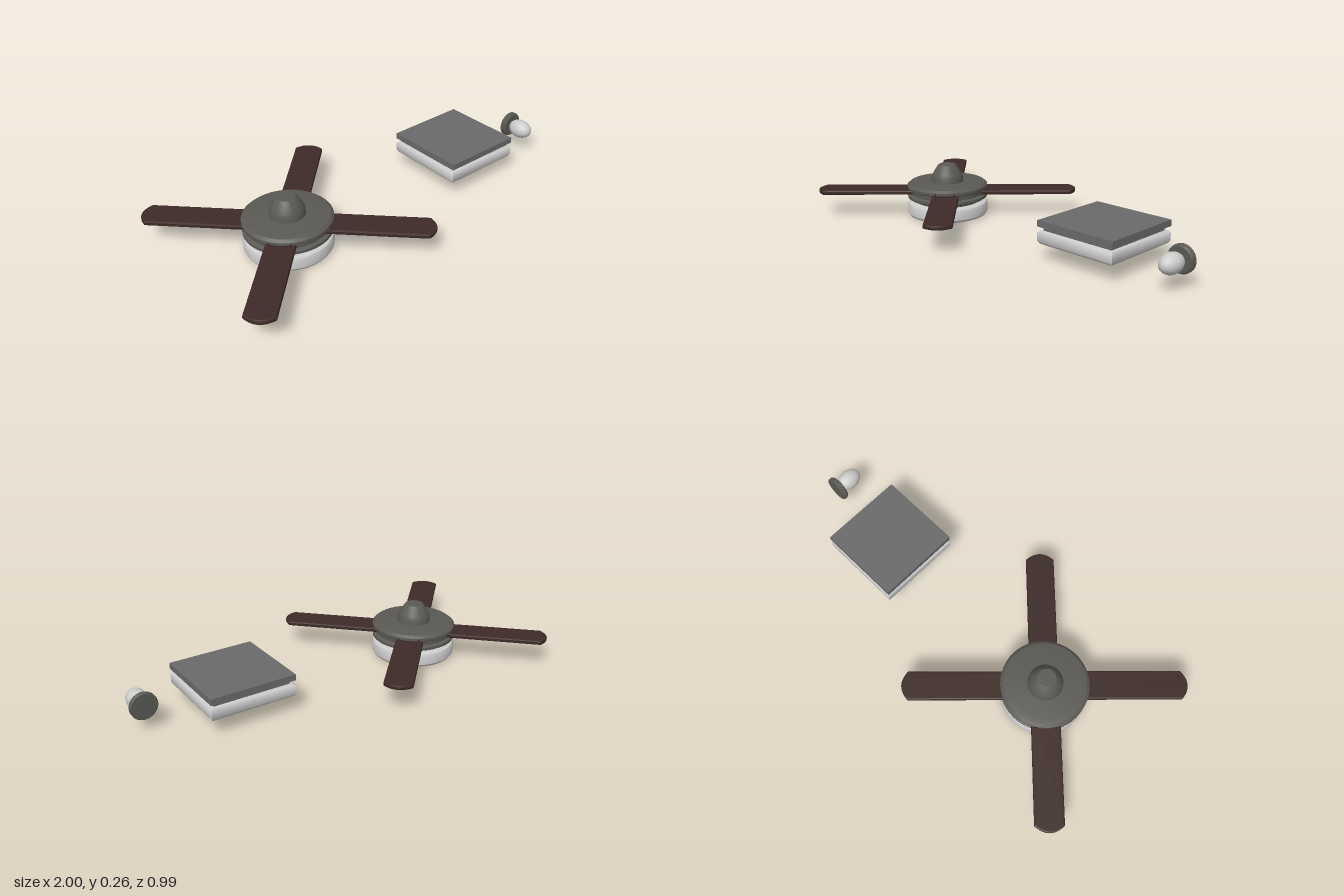
import * as THREE from 'three';
import { toCreasedNormals } from 'three/addons/utils/BufferGeometryUtils.js';

const paint = (color) => new THREE.MeshStandardMaterial({ color });
const metal = paint(0x5a5954);
const steel = paint(0x6a6a6a);
const glass = paint(0xcccccc);
const wood = paint(0x3d2b27);

function add(parent, name, geometry, material) {
  const mesh = new THREE.Mesh(geometry, material);
  mesh.name = name;
  parent.add(mesh);
  return mesh;
}

// Revolve [radius, height] pairs, listed bottom to top
function turned(profile, segments = 48, crease = 0.5) {
  const points = profile.map(([r, y]) => new THREE.Vector2(r, y));
  return toCreasedNormals(new THREE.LatheGeometry(points, segments), crease);
}

// Square version of the same: first number is the half width
function squareTurned(profile, crease) {
  const corners = profile.map(([w, y]) => [w * Math.SQRT2, y]);
  return turned(corners, 4, crease).rotateY(Math.PI / 4);
}

// Flat blade running along +x with a curved tip and bevelled rim
function bladeGeometry() {
  const bevel = 0.006;
  const shape = new THREE.Shape();
  shape.moveTo(0.1, -0.061);
  shape.lineTo(0.627, -0.061);
  shape.quadraticCurveTo(0.681, 0, 0.627, 0.061);
  shape.lineTo(0.1, 0.061);
  shape.closePath();
  const geometry = new THREE.ExtrudeGeometry(shape, {
    depth: 0.01, bevelEnabled: true, bevelThickness: bevel, bevelSize: bevel,
    bevelSegments: 2, curveSegments: 10,
  });
  return geometry.rotateX(-Math.PI / 2).translate(0, 0.121, 0);
}

function ceilingFan() {
  const fan = new THREE.Group();
  fan.name = 'ceilingFan';
  add(fan, 'fanLightShade', turned([
    [0, 0], [0.185, 0], [0.197, 0.005], [0.204, 0.016], [0.205, 0.055], [0.199, 0.068], [0.185, 0.074], [0, 0.074],
  ]), glass);
  add(fan, 'lowerHousing', turned([
    [0, 0.07], [0.165, 0.07], [0.165, 0.082], [0.19, 0.087], [0.203, 0.095], [0.203, 0.108], [0.19, 0.115], [0, 0.115],
  ]), metal);
  add(fan, 'motorCore', turned([[0, 0.11], [0.187, 0.11], [0.187, 0.145], [0, 0.145]]), metal);
  add(fan, 'upperHousing', turned([
    [0, 0.138], [0.195, 0.138], [0.205, 0.145], [0.205, 0.158], [0.192, 0.169], [0.17, 0.173], [0, 0.173],
  ]), metal);
  add(fan, 'ceilingCanopy', turned([
    [0, 0.17], [0.082, 0.17], [0.08, 0.198], [0.072, 0.216], [0.047, 0.256], [0.042, 0.26], [0, 0.26],
  ], 32), metal);

  // Four blades on the diagonals, each with a small mount
  const blade = bladeGeometry();
  const mount = new THREE.BoxGeometry(0.07, 0.022, 0.1).translate(0.165, 0.142, 0);
  for (let i = 0; i < 4; i++) {
    const arm = new THREE.Group();
    arm.name = 'bladeArm';
    arm.rotation.y = Math.PI / 4 + i * Math.PI / 2;
    add(arm, 'blade', blade, wood);
    add(arm, 'bladeMount', mount, wood);
    fan.add(arm);
  }
  fan.position.set(-0.505, 0, -0.002);
  return fan;
}

function squareLamp() {
  const lamp = new THREE.Group();
  lamp.name = 'squareLamp';
  add(lamp, 'lampPlate', squareTurned([[0, 0.157], [0.205, 0.157], [0.205, 0.186], [0, 0.186]], 0.5), steel);
  add(lamp, 'lampNeck', squareTurned([[0, 0.13], [0.185, 0.13], [0.185, 0.16], [0, 0.16]], 0.5), steel);
  add(lamp, 'lampShade', squareTurned([
    [0, 0.074], [0.187, 0.074], [0.198, 0.08], [0.205, 0.092], [0.205, 0.13], [0.195, 0.138], [0, 0.138],
  ], 0.9), glass);
  lamp.position.set(0.525, 0, -0.002);
  return lamp;
}

function wallLight() {
  const light = new THREE.Group();
  light.name = 'wallLight';
  // Ridged backing disc, turned to face +z
  add(light, 'wallBase', turned([
    [0, 0], [0.06, 0], [0.063, 0.003], [0.063, 0.008], [0.059, 0.01], [0.063, 0.013],
    [0.063, 0.018], [0.059, 0.02], [0.06, 0.024], [0.056, 0.028], [0, 0.028],
  ], 32).rotateX(Math.PI / 2), metal);
  // Egg shaped bulb
  const bulb = add(light, 'bulb', new THREE.SphereGeometry(1, 28, 18).rotateX(Math.PI / 2), glass);
  bulb.scale.set(0.046, 0.046, 0.064);
  bulb.position.z = 0.084;
  light.position.set(0.935, 0.118, 0.007);
  return light;
}

export function createModel() {
  const model = new THREE.Group();
  model.name = 'lightFixtures';
  model.add(ceilingFan(), squareLamp(), wallLight());
  return model;
}
